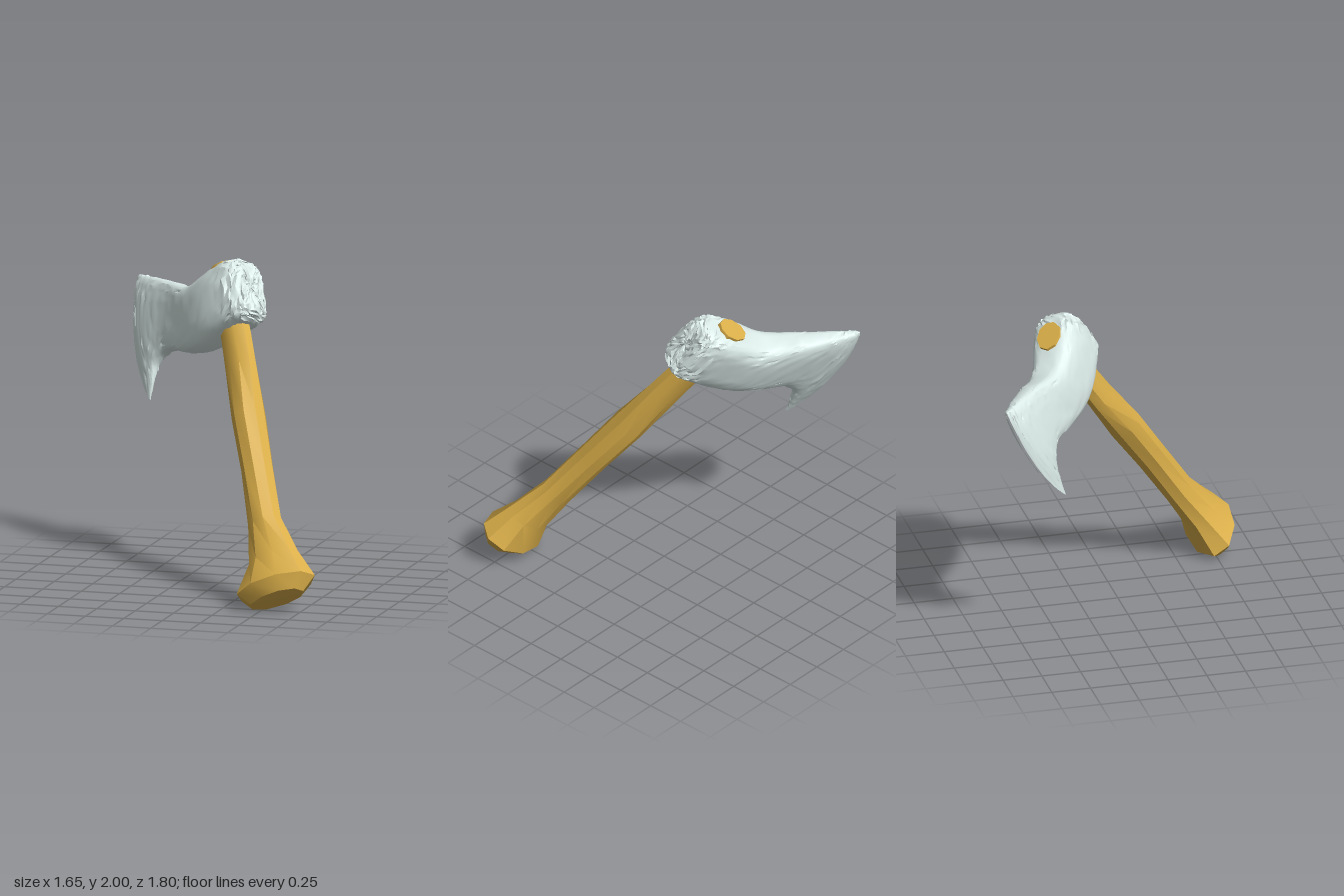
import * as THREE from 'three';
import { toCreasedNormals } from 'three/addons/utils/BufferGeometryUtils.js';

// Skin a closed tube of rows x cols points given by fn(row, col)
function loft(rows, cols, fn) {
  const pos = [], index = [];
  for (let i = 0; i < rows; i++) {
    for (let j = 0; j < cols; j++) {
      pos.push(...fn(i, j));
      if (i === rows - 1) continue;
      const k = (j + 1) % cols;
      const a = i * cols + j, b = i * cols + k, c = a + cols, d = b + cols;
      index.push(a, b, c, b, d, c);
    }
  }
  const geo = new THREE.BufferGeometry();
  geo.setAttribute('position', new THREE.Float32BufferAttribute(pos, 3));
  geo.setIndex(index);
  return geo;
}

// Repeatable noise in -0.5..0.5
function noise(i, j, k) {
  const s = Math.sin(i * 127.1 + j * 311.7 + k * 74.7) * 43758.5453;
  return s - Math.floor(s) - 0.5;
}

const spow = (x, e) => Math.sign(x) * Math.pow(Math.abs(x), e);
const { lerp, smoothstep } = THREE.MathUtils;

function headGeometry() {
  // Upper and lower outlines from poll to cutting edge: (along, up, half thickness)
  const curve = pts => new THREE.CatmullRomCurve3(pts.map(p => new THREE.Vector3(...p)));
  const top = curve([
    [-0.195, -0.28, 0], [-0.2, -0.125, 0.095], [-0.155, -0.08, 0.14], [0, -0.06, 0.155],
    [0.27, -0.06, 0.132], [0.45, 0.06, 0.1], [0.615, 0.175, 0.072], [0.705, 0.23, 0.055],
    [0.755, 0.265, 0.036], [0.78, 0.275, 0.008]]);
  const bottom = curve([
    [-0.195, -0.28, 0], [-0.2, -0.46, 0.095], [-0.155, -0.49, 0.14], [0, -0.505, 0.155],
    [0.25, -0.5, 0.132], [0.45, -0.43, 0.1], [0.625, -0.335, 0.072], [0.74, -0.37, 0.055],
    [0.8, -0.46, 0.034], [0.855, -0.575, 0.006]]);
  const rows = 58, cols = 48;
  const geo = loft(rows, cols, (i, j) => {
    const s = i / (rows - 1), a = (j / cols) * Math.PI * 2;
    const t = top.getPoint(s), b = bottom.getPoint(s);
    const q = 0.5 - 0.5 * spow(Math.cos(a), 0.6);
    const p = t.clone().lerp(b, q);
    // Curved cutting edge
    const bulge = 0.09 * Math.pow(Math.max(0, Math.sin(Math.PI * q)), 0.8);
    p.x += bulge * smoothstep(s, 0.5, 1);
    // The blade sits slightly to one side of the haft
    const shift = 0.045 * smoothstep(p.x, 0.1, 0.6);
    const w = p.z * spow(Math.sin(a), 0.55) + shift;
    // Battered poll, smoother cheeks, scattered nicks
    let amp = lerp(0.018, 0.003, smoothstep(p.x, -0.13, 0.06));
    if (p.x > 0 && noise(i, j, 9) > 0.36) amp = 0.014;
    if (i === 0) amp = 0;
    const thin = Math.min(1, p.z / 0.04);
    return [p.x + amp * noise(i, j, 1), p.y + amp * noise(i, j, 2), w + amp * thin * noise(i, j, 3)];
  });
  return toCreasedNormals(geo, 0.6);
}

function handleGeometry() {
  // Rings down the haft: height, back reach, front reach, half width, skew
  const rings = [
    [-0.045, 0, 0, 0, 0], [-0.045, 0.095, 0.11, 0.08, 0], [-0.55, 0.115, 0.105, 0.078, 0],
    [-0.75, 0.115, 0.112, 0.08, 0], [-1.1, 0.108, 0.108, 0.11, 0], [-1.47, 0.105, 0.103, 0.1, 0],
    [-1.85, 0.105, 0.125, 0.094, 0.05], [-2.11, 0.18, 0.152, 0.115, 0.15],
    [-2.3, 0.245, 0.255, 0.175, 0.25], [-2.385, 0.16, 0.19, 0.11, 0.25], [-2.395, 0, 0, 0, 0]];
  const sides = 9;
  const geo = loft(rings.length, sides, (i, j) => {
    const [y, back, front, width, skew] = rings[i];
    const a = (j / sides) * Math.PI * 2;
    const x = Math.cos(a) * (Math.cos(a) > 0 ? front : back);
    return [x, y, Math.sin(a) * width - skew * x];
  });
  return toCreasedNormals(geo, 0.6);
}

export function createModel() {
  const model = new THREE.Group();
  model.name = 'axe';

  const axe = new THREE.Group();
  axe.name = 'tiltedAxe';
  const add = (name, geo, color) => {
    const mesh = new THREE.Mesh(geo, new THREE.MeshStandardMaterial({ color }));
    mesh.name = name;
    axe.add(mesh);
  };
  add('axeHead', headGeometry(), 0xdbebe8);
  add('handle', handleGeometry(), 0xdcb04a);

  // Lean the axe: local x runs to the blade, local y up the haft
  const up = new THREE.Vector3(-0.31, 0.78, -0.54).normalize();
  const blade = new THREE.Vector3(-0.79, -0.53, -0.31);
  blade.addScaledVector(up, -blade.dot(up)).normalize();
  const side = blade.clone().cross(up);
  axe.quaternion.setFromRotationMatrix(new THREE.Matrix4().makeBasis(blade, up, side));
  axe.position.set(-0.12, 1.97, -0.5);
  model.add(axe);
  return model;
}
